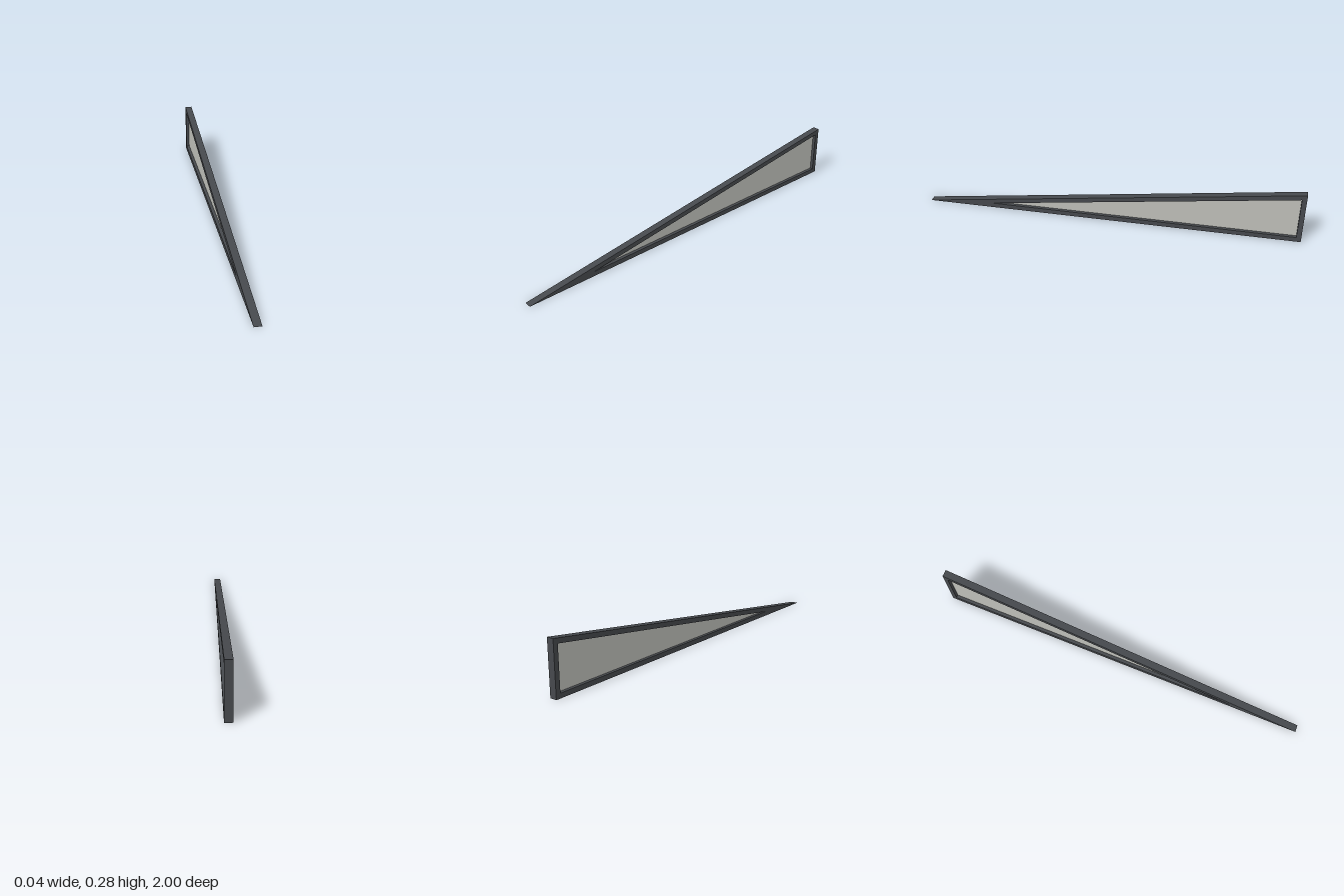
import * as THREE from 'three';

const LENGTH = 2, HEIGHT = 0.279, DEPTH = 0.038, BAR = 0.025, PANE = 0.004;

// Right triangle in side profile: u runs backwards, v runs up
function trianglePoints(inset) {
  const slope = HEIGHT / LENGTH;
  const drop = inset * Math.hypot(1, slope);
  const back = LENGTH / 2 - inset;
  const tip = (inset + drop) / slope - LENGTH / 2;
  const top = (back + LENGTH / 2) * slope - drop;
  return [[tip, inset], [back, inset], [back, top]].map(([u, v]) => new THREE.Vector2(u, v));
}

// Extrude a side profile across x, centred on x = 0
function extrudeAcross(shape, depth) {
  const geometry = new THREE.ExtrudeGeometry(shape, { depth, bevelEnabled: false });
  geometry.translate(0, 0, -depth / 2);
  geometry.rotateY(Math.PI / 2);
  return geometry;
}

export function createModel() {
  const group = new THREE.Group();
  group.name = 'triangularWindow';

  const frameMaterial = new THREE.MeshStandardMaterial({ color: 0x46494d });
  frameMaterial.name = 'dark grey frame';
  const paneMaterial = new THREE.MeshStandardMaterial({ color: 0xbfc0ba });
  paneMaterial.name = 'pale grey pane';

  // Frame with a triangular opening
  const frameShape = new THREE.Shape(trianglePoints(0));
  frameShape.holes.push(new THREE.Path(trianglePoints(BAR).reverse()));
  const frame = new THREE.Mesh(extrudeAcross(frameShape, DEPTH), frameMaterial);
  frame.name = 'frame';

  // Thin pane set in the middle of the frame
  const pane = new THREE.Mesh(extrudeAcross(new THREE.Shape(trianglePoints(BAR)), PANE), paneMaterial);
  pane.name = 'pane';

  group.add(frame, pane);
  return group;
}
